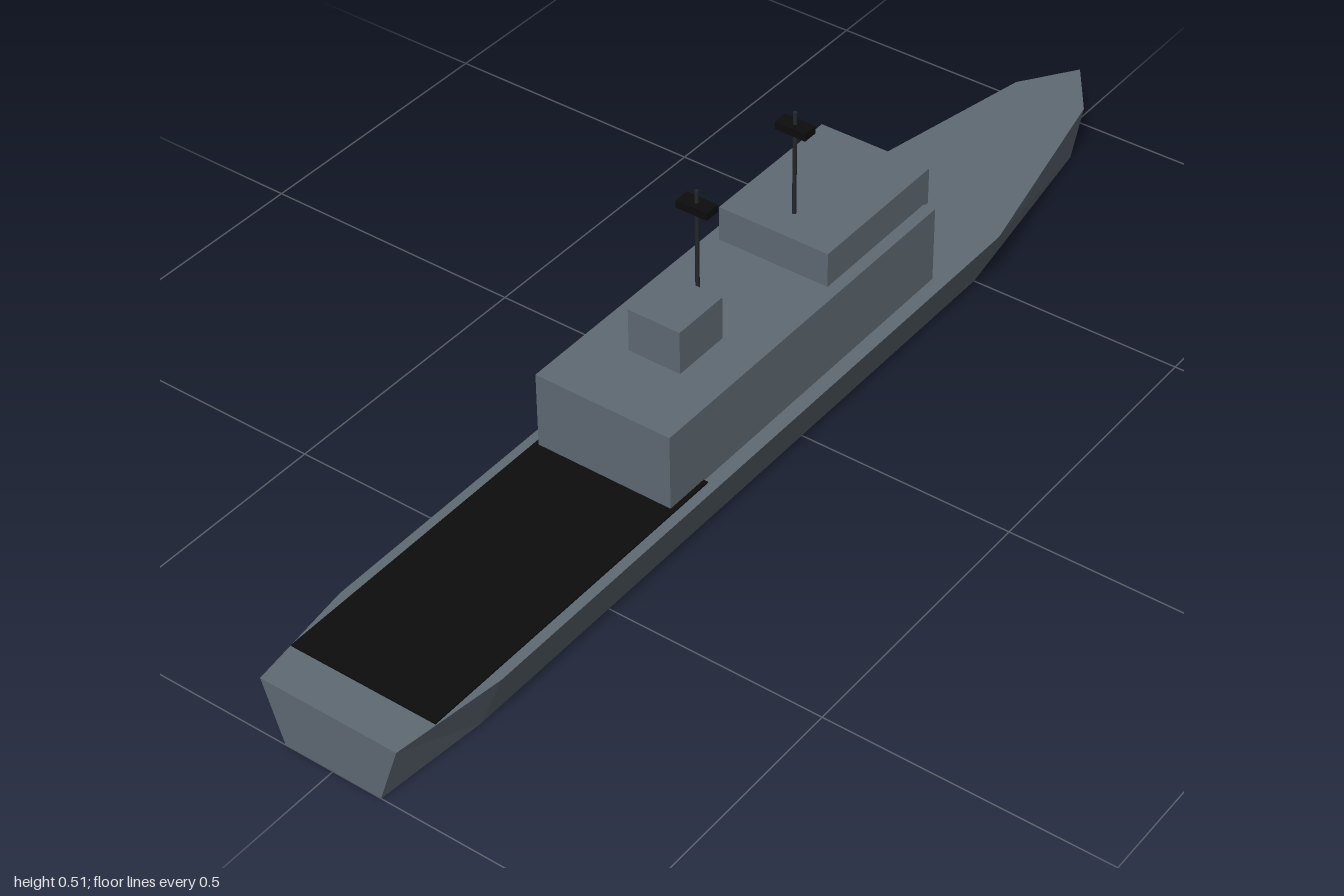
import * as THREE from 'three';

export function createModel() {
  const ship = new THREE.Group();
  ship.name = 'patrolShip';

  const mat = (name, color) => {
    const m = new THREE.MeshStandardMaterial({ color });
    m.name = name;
    return m;
  };
  const grey = mat('hullGrey', 0x5f6a74);
  const black = mat('deckBlack', 0x0d0d0d);
  const steel = mat('mastSteel', 0x24282b);

  const add = (name, geometry, material, parent = ship) => {
    const mesh = new THREE.Mesh(geometry, material);
    mesh.name = name;
    parent.add(mesh);
    return mesh;
  };
  // Box given by half width, height range and length range
  const block = (name, halfX, y0, y1, z0, z1, material, x = 0, parent = ship) => {
    const mesh = add(name, new THREE.BoxGeometry(halfX * 2, y1 - y0, z1 - z0), material, parent);
    mesh.position.set(x, (y0 + y1) / 2, (z0 + z1) / 2);
    return mesh;
  };

  // Hull: deck outline extruded upward, narrowed at the keel; bow points to -z
  const deckY = 0.112;
  const side = [[0.127, 1], [0.153, 0.8], [0.153, -0.5], [0.07, -0.9]];
  const outline = [...side, [0, -1], ...side.map(([x, z]) => [-x, z]).reverse()];
  const shape = new THREE.Shape(outline.map(([x, z]) => new THREE.Vector2(x, -z)));
  const hull = new THREE.ExtrudeGeometry(shape, { depth: deckY, bevelEnabled: false });
  hull.rotateX(-Math.PI / 2);
  const p = hull.attributes.position;
  for (let i = 0; i < p.count; i++) {
    if (p.getY(i) < deckY / 2) p.setX(i, p.getX(i) * 0.71);
  }
  hull.computeVertexNormals();
  add('hull', hull, grey);

  // Dark aft flight deck
  block('flightDeck', 0.135, deckY - 0.003, deckY + 0.003, 0.285, 0.925, black);

  // Superstructure
  block('deckhouse', 0.127, deckY, 0.253, -0.34, 0.368, grey);
  block('bridge', 0.105, 0.249, 0.317, -0.352, -0.07, grey);
  block('funnel', 0.049, 0.25, 0.332, 0.13, 0.238, grey);

  // Bridge windows facing the bow
  const windows = new THREE.Group();
  windows.name = 'bridgeWindows';
  ship.add(windows);
  for (let i = -3; i <= 3; i++) {
    block('bridgeWindow', 0.0105, 0.28, 0.305, -0.356, -0.35, black, i * 0.028, windows);
  }

  // Masts with crossbars
  for (const [name, z] of [['foreMast', -0.127], ['aftMast', 0.127]]) {
    const mast = new THREE.Group();
    mast.name = name;
    ship.add(mast);
    const pole = add('mastPole', new THREE.CylinderGeometry(0.0035, 0.0035, 0.2, 8), steel, mast);
    pole.position.set(0, 0.41, z);
    block('mastCrossbar', 0.029, 0.474, 0.488, z - 0.014, z + 0.014, black, 0, mast);
  }

  return ship;
}
